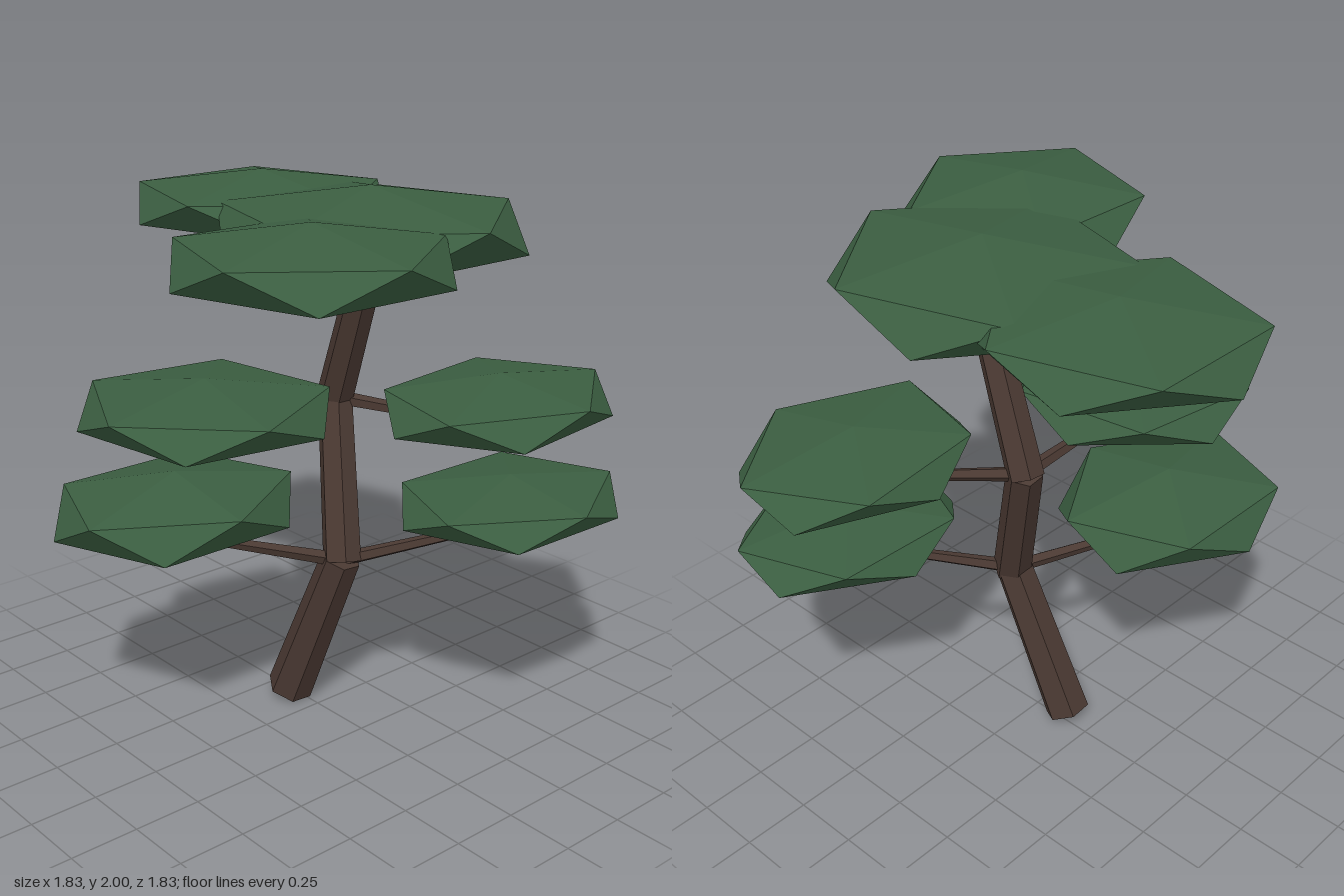
import * as THREE from 'three';
import { ConvexGeometry } from 'three/addons/geometries/ConvexGeometry.js';

const leafGreen = new THREE.MeshStandardMaterial({ color: 0x3b5e41, flatShading: true });
leafGreen.name = 'leaf green';
const barkBrown = new THREE.MeshStandardMaterial({ color: 0x4a3932, flatShading: true });
barkBrown.name = 'bark brown';

// Tapered limb between two points
function limb(name, from, to, r0, r1, sides) {
  const a = new THREE.Vector3(...from);
  const dir = new THREE.Vector3(...to).sub(a);
  const length = dir.length();
  const geo = new THREE.CylinderGeometry(r1, r0, length, sides);
  geo.translate(0, length / 2, 0);
  const mesh = new THREE.Mesh(geo, barkBrown);
  mesh.quaternion.setFromUnitVectors(new THREE.Vector3(0, 1, 0), dir.normalize());
  mesh.position.copy(a);
  mesh.name = name;
  return mesh;
}

// Flattened twenty-sided foliage pad: two poles and two staggered rings of five
function pad(name, [x, y, z], rx, ry, rz, yaw) {
  const points = [new THREE.Vector3(0, ry, 0), new THREE.Vector3(0, -ry, 0)];
  for (let k = 0; k < 10; k++) {
    const a = (k * Math.PI) / 5;
    const h = (k % 2 ? -0.447 : 0.447) * ry;
    points.push(new THREE.Vector3(Math.cos(a) * rx, h, Math.sin(a) * rz));
  }
  const mesh = new THREE.Mesh(new ConvexGeometry(points), leafGreen);
  mesh.rotation.y = -yaw;
  mesh.position.set(x, y, z);
  mesh.name = name;
  return mesh;
}

export function createModel() {
  const tree = new THREE.Group();
  tree.name = 'tree';

  // Zigzag trunk
  const base = [-0.13, 0.035, 0.03];
  const lowJoint = [0.11, 0.645, -0.02];
  const midJoint = [-0.065, 1.2, -0.14];
  const top = [0.165, 1.74, -0.09];
  tree.add(
    limb('lowerTrunk', base, lowJoint, 0.088, 0.073, 6),
    limb('middleTrunk', [0.115, 0.63, -0.02], midJoint, 0.073, 0.066, 6),
    limb('upperTrunk', [-0.07, 1.18, -0.14], top, 0.069, 0.06, 6),
  );

  // Foliage pads: centre, radii, turn, and the joint their branch grows from
  const pads = [
    ['lowLeftPad', [-0.235, 0.868, 0.462], 0.385, 0.132, 0.455, 0, lowJoint],
    ['lowRightPad', [0.505, 0.87, -0.475], 0.36, 0.1, 0.435, 0.02, lowJoint],
    ['middleRightPad', [0.43, 1.218, -0.48], 0.375, 0.11, 0.465, -0.13, midJoint],
    ['middleFrontPad', [-0.03, 1.283, 0.47], 0.44, 0.107, 0.43, 0.16, midJoint],
    ['topLeftPad', [-0.43, 1.86, -0.1], 0.48, 0.12, 0.46, 0, top],
    ['topFrontPad', [0.475, 1.86, 0.425], 0.445, 0.125, 0.445, 0.03, top],
    ['crownPad', [0.17, 1.855, -0.09], 0.55, 0.145, 0.52, 0, null],
  ];
  for (const [name, centre, rx, ry, rz, yaw, joint] of pads) {
    tree.add(pad(name, centre, rx, ry, rz, yaw));
    if (!joint) continue;
    // Branch rising to the underside of the pad
    const [x, y, z] = centre;
    const end = [x, y - ry * 0.85, z];
    const start = joint === top ? [joint[0], 1.71, joint[2]] : [joint[0], joint[1] - 0.01, joint[2]];
    tree.add(limb(name.replace('Pad', 'Branch'), start, end, 0.028, 0.016, 5));
  }
  return tree;
}
